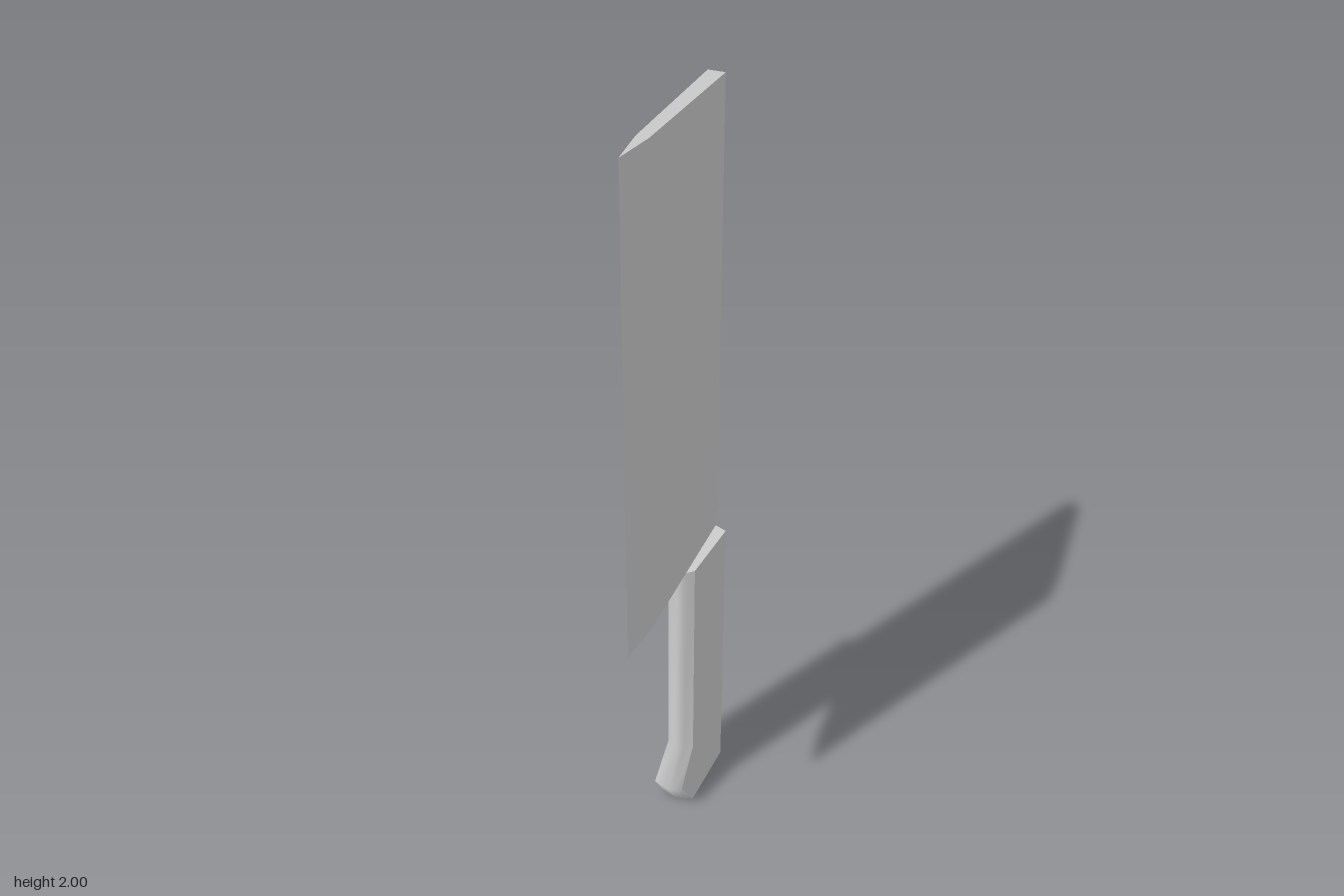
import * as THREE from 'three';
import { mergeGeometries } from 'three/addons/utils/BufferGeometryUtils.js';

// Smooth patch through rows of [x, y, z] points, rows running upwards
function patch(rows) {
  const n = rows[0].length;
  const index = [];
  for (let r = 0; r < rows.length - 1; r++) {
    for (let i = 0; i < n - 1; i++) {
      const a = r * n + i, b = a + 1, c = b + n, d = a + n;
      index.push(a, b, c, a, c, d);
    }
  }
  return finish(rows.flat(), index);
}

// Flat convex end face
function cap(ring, up) {
  const index = [];
  for (let i = 1; i < ring.length - 1; i++) index.push(0, up ? i : i + 1, up ? i + 1 : i);
  return finish(ring, index);
}

function finish(points, index) {
  const geo = new THREE.BufferGeometry();
  geo.setAttribute('position', new THREE.Float32BufferAttribute(points.flat(), 3));
  geo.setIndex(index);
  geo.computeVertexNormals();
  return geo;
}

// Loft closed rings; each strip [from, to] of ring corners is smooth, with hard edges between strips
function loft(rings, strips) {
  const n = rings[0].length;
  const parts = strips.map(([from, to]) => patch(rings.map(ring => {
    const row = [];
    for (let i = from; i <= to; i++) row.push(ring[i % n]);
    return row;
  })));
  parts.push(cap(rings[0], false), cap(rings[rings.length - 1], true));
  return mergeGeometries(parts);
}

export function createModel() {
  const model = new THREE.Group();
  const material = new THREE.MeshStandardMaterial({ color: 0xcccccc });
  const add = (name, geometry) => {
    const mesh = new THREE.Mesh(geometry, material);
    mesh.name = name;
    model.add(mesh);
  };

  // Blade: tapered wedge section with a sloping tip
  const section = [[0, 0.27], [0.014, 0.15], [0.02, -0.27], [-0.02, -0.27], [-0.014, 0.15]];
  const tipY = z => 2 - (0.27 - z) * 0.083;
  add('blade', loft(
    [section.map(([x, z]) => [x, 0.77, z]), section.map(([x, z]) => [x, tipY(z), z])],
    section.map((_, i) => [i, i + 1])
  ));

  // Handle: rounded front and back, flat sides, hooked butt
  // each level: y, left x, left z, right x, right z of the front edges, front centre z
  const levels = [
    [0, 0.04, -0.06, -0.04, -0.06, -0.048],
    [0.09, 0.031, -0.002, -0.045, -0.004, 0.012],
    [0.18, 0.034, -0.075, -0.034, -0.075, -0.05],
    [0.77, 0.034, -0.075, -0.034, -0.075, -0.05],
  ];
  const rings = levels.map(([y, lx, lz, rx, rz, cz]) => [
    [rx, y, rz],
    [rx * 0.45, y, THREE.MathUtils.lerp(cz, rz, 0.36)],
    [0, y, cz],
    [lx * 0.45, y, THREE.MathUtils.lerp(cz, lz, 0.36)],
    [lx, y, lz],
    [0.051, y, -0.25], [0.022, y, -0.262], [0, y, -0.266], [-0.022, y, -0.262], [-0.051, y, -0.25],
  ]);
  add('handle', loft(rings, [[0, 4], [4, 5], [5, 9], [9, 10]]));

  return model;
}
